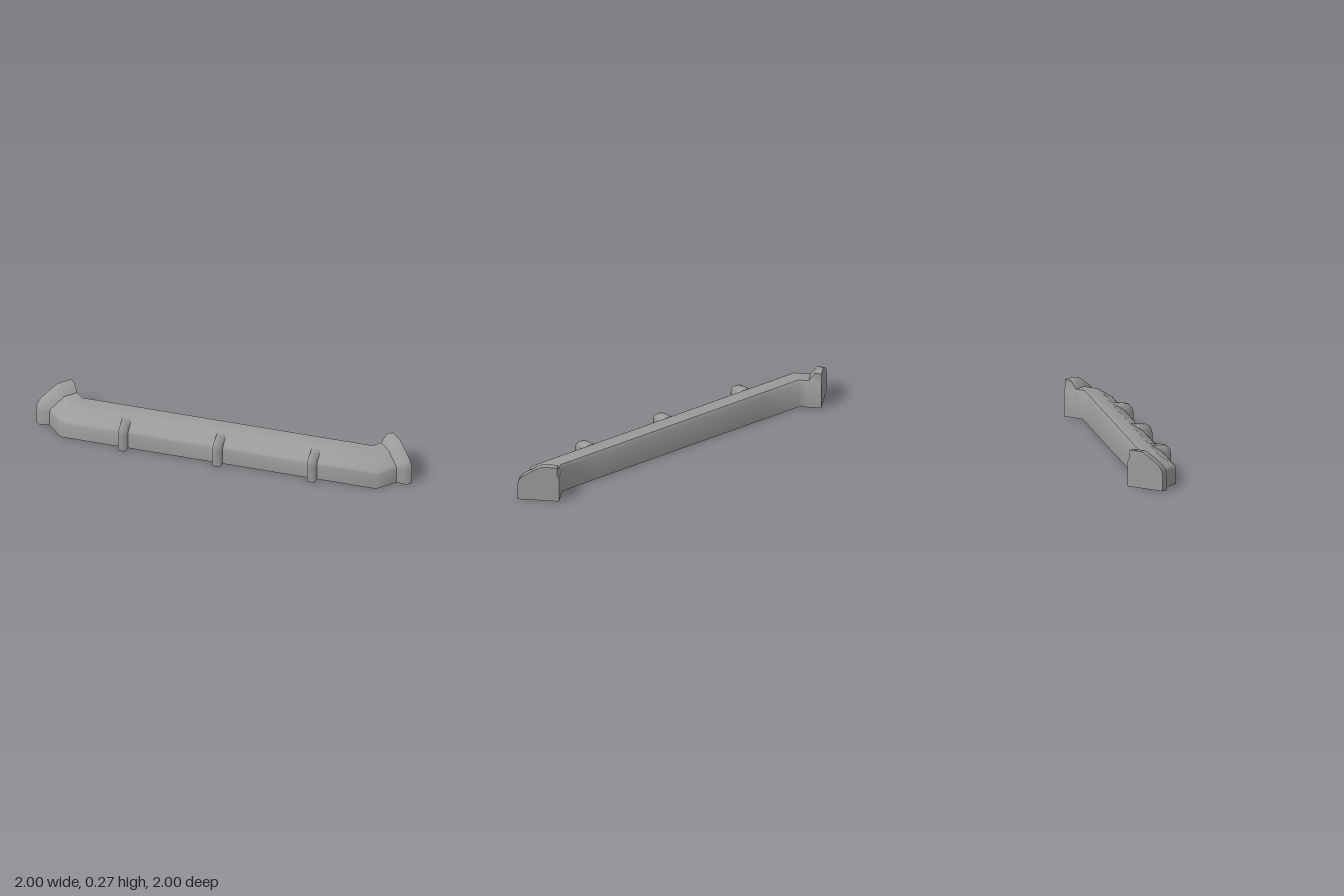
import * as THREE from 'three';
import { toCreasedNormals } from 'three/addons/utils/BufferGeometryUtils.js';

// Profiles as [depth from the outer face, height], outer foot -> over the top -> inner foot
const WALL = [[0, 0], [0, 0.12], [0.006, 0.133], [0.02, 0.145], [0.09, 0.19], [0.12, 0.21],
  [0.23, 0.21], [0.23, 0.21], [0.245, 0.186], [0.245, 0]];
const CAP = [[-0.06, 0], [-0.06, 0.12], [-0.05, 0.155], [-0.025, 0.185], [0.07, 0.245], [0.12, 0.27],
  [0.23, 0.27], [0.23, 0.21], [0.245, 0.186], [0.245, 0]];
const CENTRE = CAP.map(() => [0.1, 0]);

// Ribs: curved outer line, and the line where they meet the wall
const RIB_OUTER = [[-0.05, 0], [-0.05, 0.13], [-0.042, 0.16], [-0.02, 0.181], [0.02, 0.19], [0.092, 0.193]];
const RIB_BASE = [[0, 0], [0, 0.12], [0.006, 0.133], [0.02, 0.145], [0.05, 0.1645], [0.09, 0.19]];
const RIB_AT = [-0.714, -0.004, 0.706];
const RIB_HALF = 0.034, RIB_HALF_OUTER = 0.027;
const SLOT_ROWS = 4; // the hollow ribs open into the wall below this profile point

const material = new THREE.MeshStandardMaterial({ color: 0x9b9b9b, side: THREE.DoubleSide });

// Cross-section on the straight end run, on the mitred bend, and on the diagonal run
const straight = (profile, z) => profile.map(([d, y]) => [d - 0.94, y, z]);
const bend = (profile) => profile.map(([d, y]) => [d - 0.94, y, -0.735 - 0.414 * d]);
const diagonal = (profile, u) => profile.map(([d, y]) => {
  const along = u * Math.SQRT1_2, across = d * Math.SQRT1_2 - 0.1025;
  return [along + across, y, along - across];
});
// The far end is the near end reflected across the diagonal
const reflect = (section) => section.map(([x, y, z]) => [-z, y, -x]);

// Skin a list of cross-sections; edges sharper than crease stay hard, skip(i, j) leaves a quad open
function skin(name, sections, crease, skip = () => false) {
  const n = sections[0].length;
  const index = [];
  for (let i = 0; i < sections.length - 1; i++) {
    for (let j = 0; j < n - 1; j++) {
      if (skip(i, j)) continue;
      const a = i * n + j, b = a + n;
      index.push(a, b, a + 1, b, b + 1, a + 1);
    }
  }
  const geometry = new THREE.BufferGeometry();
  geometry.setAttribute('position', new THREE.Float32BufferAttribute(sections.flat(2), 3));
  geometry.setIndex(index);
  const mesh = new THREE.Mesh(toCreasedNormals(geometry, crease), material);
  mesh.name = name;
  return mesh;
}

export function createModel() {
  const group = new THREE.Group();
  group.name = 'diagonalWall';

  // Hollow wall, open below, with a slot behind each rib
  const start = [straight(WALL, -0.905), bend(WALL)];
  const middle = RIB_AT.flatMap((u) => [diagonal(WALL, u - RIB_HALF), diagonal(WALL, u + RIB_HALF)]);
  const end = start.map(reflect).reverse();
  group.add(skin('wall', [...start, ...middle, ...end], 1,
    (i, j) => j < SLOT_ROWS && i >= 2 && i <= 6 && i % 2 === 0));

  // Flared end caps: flat end face, rim, and a softly shaded slope down to the wall
  const cap = [straight(CENTRE, -1), straight(CAP, -1), straight(CAP, -0.95), straight(WALL, -0.905)];
  group.add(skin('rightEndCap', cap, 1));
  group.add(skin('leftEndCap', cap.map(reflect).reverse(), 1));

  // Tapered, smooth ribs curving over the outer shoulder
  RIB_AT.forEach((u, i) => group.add(skin('rib' + (i + 1), [
    diagonal(RIB_BASE, u - RIB_HALF),
    diagonal(RIB_OUTER, u - RIB_HALF_OUTER),
    diagonal(RIB_OUTER, u + RIB_HALF_OUTER),
    diagonal(RIB_BASE, u + RIB_HALF),
  ], Math.PI)));

  return group;
}
